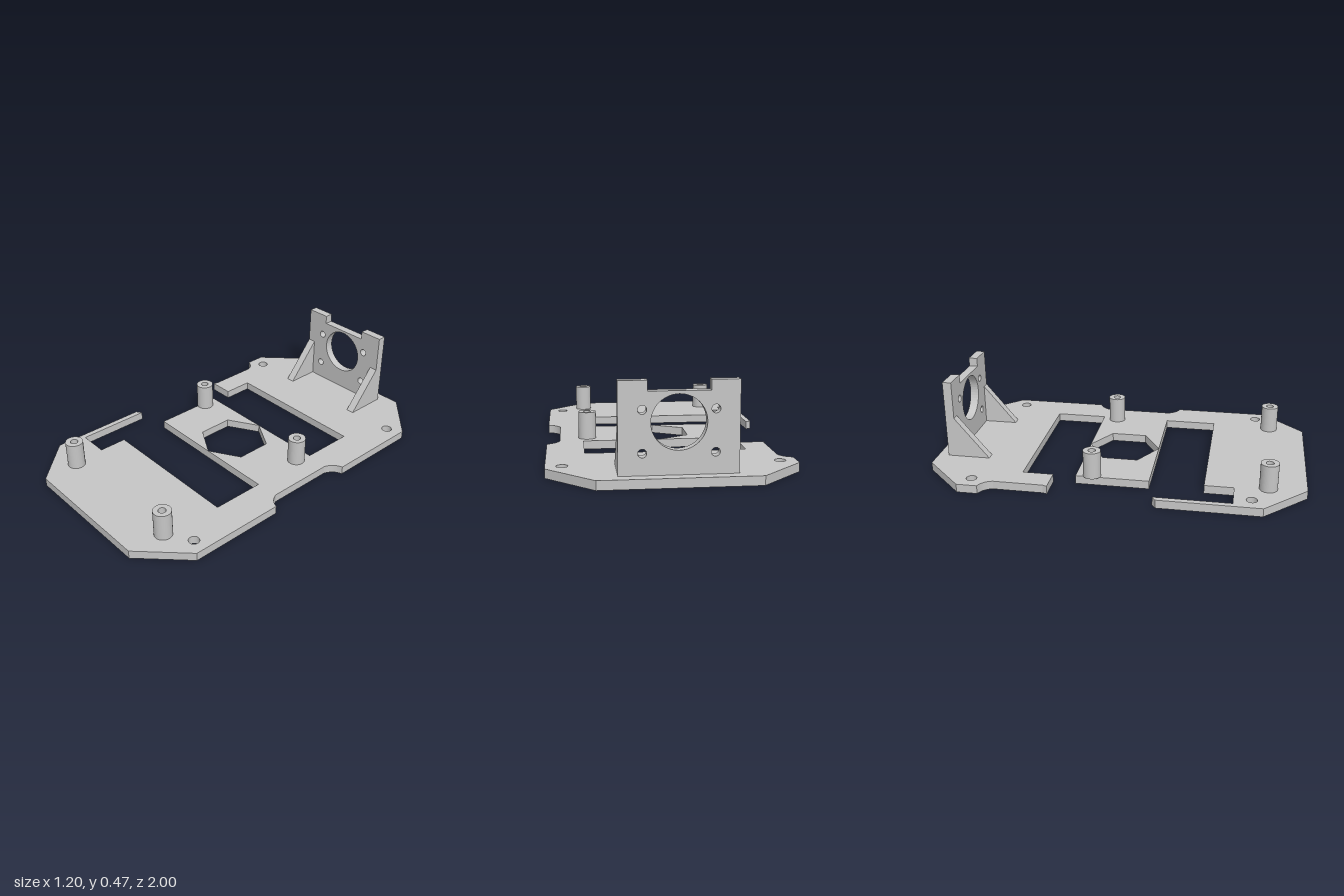
import * as THREE from 'three';

const T = 0.045; // plate thickness

const circle = (x, y, r) => new THREE.Path().absarc(x, y, r, 0, Math.PI * 2, false);
const points = (list) => list.map(([x, y]) => new THREE.Vector2(x, y));

export function createModel() {
  const group = new THREE.Group();
  const grey = new THREE.MeshStandardMaterial({ color: 0xc6c6c6 });
  grey.name = 'light grey';

  const add = (name, geometry, x = 0, y = 0, z = 0) => {
    const mesh = new THREE.Mesh(geometry, grey);
    mesh.name = name;
    mesh.position.set(x, y, z);
    group.add(mesh);
  };
  const extrude = (shape, depth) =>
    new THREE.ExtrudeGeometry(shape, { depth, bevelEnabled: false, curveSegments: 24 });

  // Base plate outline, drawn as (x, -z) and laid flat
  const plate = new THREE.Shape();
  const line = (...list) => list.forEach(([x, z]) => plate.lineTo(x, -z));
  const round = (cx, cz, x, z) => plate.quadraticCurveTo(cx, -cz, x, -z);
  plate.moveTo(-0.38, 1);
  line([0.373, -1], [0.6, -0.77], [0.6, -0.25]);
  round(0.548, -0.235, 0.532, -0.18);
  line([0.532, 0.185]);
  round(0.548, 0.235, 0.6, 0.25);
  line([0.6, 0.77], [0.373, 1], [-0.38, 1], [-0.6, 0.78], [-0.6, 0.25], [-0.57, 0.23]);
  // Side openings and the two slots reaching across the plate
  line([-0.57, 0.63], [-0.405, 0.63], [-0.405, 0.477], [0.408, 0.477], [0.408, 0.193], [-0.405, 0.193]);
  line([-0.405, -0.196], [0.408, -0.196], [0.408, -0.48], [-0.408, -0.48], [-0.408, -0.316]);
  line([-0.545, -0.316], [-0.537, -0.34], [-0.537, -0.605]);
  round(-0.55, -0.655, -0.6, -0.67);
  line([-0.6, -0.78]);
  plate.closePath();

  // Corner screw holes and hexagonal window
  for (const x of [-0.52, 0.52]) {
    for (const z of [-0.725, 0.722]) plate.holes.push(circle(x, -z, 0.028));
  }
  plate.holes.push(new THREE.Path(points([
    [0, 0.195], [-0.165, 0.098], [-0.165, -0.095], [0, -0.192], [0.165, -0.095], [0.165, 0.098],
  ])));
  add('basePlate', extrude(plate, T).rotateX(-Math.PI / 2));

  // Hollow standoffs, open at the top
  const tube = new THREE.Shape().absarc(0, 0, 0.047, 0, Math.PI * 2, false);
  tube.holes.push(circle(0, 0, 0.02));
  const tubeGeometry = extrude(tube, 0.19 - T).rotateX(-Math.PI / 2);
  for (const x of [-0.386, 0.385]) {
    for (const z of [-0.111, 0.802]) add('standoff', tubeGeometry, x, T, z);
  }

  // Upright motor bracket with notched top, large bore and four screw holes
  const bracket = new THREE.Shape(points([
    [-0.275, T], [0.274, T], [0.274, 0.473], [0.141, 0.473],
    [0.141, 0.425], [-0.143, 0.425], [-0.143, 0.473], [-0.275, 0.473],
  ]));
  bracket.holes.push(circle(0, 0.284, 0.127));
  for (const x of [-0.165, 0.165]) {
    for (const y of [0.146, 0.342]) bracket.holes.push(circle(x, y, 0.02));
  }
  add('motorBracket', extrude(bracket, 0.048), 0, 0, -0.943);

  // Sloping gussets in front of the bracket, drawn as (-z, y)
  const gusset = new THREE.Shape(points([[0.71, T], [0.895, T], [0.895, 0.267]]));
  const gussetGeometry = extrude(gusset, 0.046).rotateY(Math.PI / 2);
  for (const x of [-0.275, 0.228]) add('gusset', gussetGeometry, x, 0, 0);

  return group;
}
